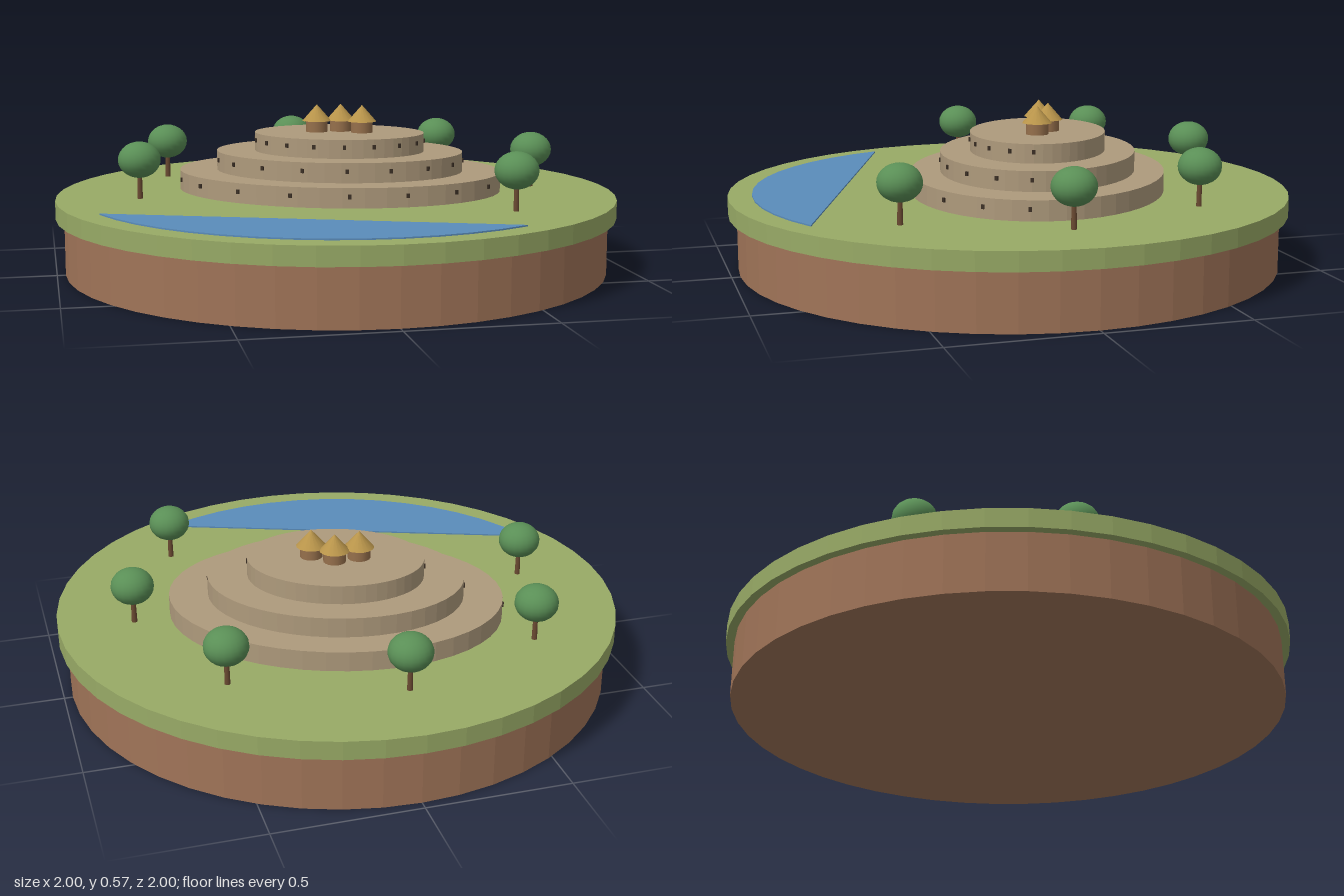
import * as THREE from 'three';

const mat = (name, color, flatShading = false) => {
  const m = new THREE.MeshStandardMaterial({ color, flatShading });
  m.name = name;
  return m;
};

export function createModel() {
  const soil = mat('soil', 0xa07458, true);
  const grass = mat('grass', 0x98aa66, true);
  const stone = mat('stone', 0xae9a7c, true);
  const water = mat('water', 0x5a8cba);
  const leaf = mat('leaf', 0x5a8f56);
  const bark = mat('bark', 0x6b4a32);
  const thatch = mat('thatch', 0xb8944a);
  const mudWall = mat('mudWall', 0x96704c);
  const opening = mat('opening', 0x3c3026);

  const model = new THREE.Group();
  model.name = 'hillVillage';
  const add = (parent, name, geometry, material, x = 0, y = 0, z = 0) => {
    const mesh = new THREE.Mesh(geometry, material);
    mesh.name = name;
    mesh.position.set(x, y, z);
    parent.add(mesh);
    return mesh;
  };

  // Round base with a wider layer of turf
  add(model, 'soilBase', new THREE.CylinderGeometry(0.97, 0.97, 0.2, 48), soil, 0, 0.1, 0);
  add(model, 'turf', new THREE.CylinderGeometry(1, 1, 0.065, 48), grass, 0, 0.2325, 0);

  // Lake: a circle segment cut off by a straight shore
  const shore = [];
  for (let i = 0; i <= 14; i++) {
    const a = THREE.MathUtils.lerp(2.795, 1.048, i / 14);
    shore.push(new THREE.Vector2(0.915 * Math.cos(a), 0.915 * Math.sin(a)));
  }
  const lake = new THREE.ExtrudeGeometry(new THREE.Shape(shore), { depth: 0.008, bevelEnabled: false });
  lake.rotateX(Math.PI / 2);
  add(model, 'lake', lake, water, 0, 0.27, 0);

  // Terraced oval hill, turned about 20 degrees, with openings along its front half
  const hill = new THREE.Group();
  hill.name = 'terracedHill';
  hill.position.set(0.032, 0, -0.1);
  hill.rotation.y = -0.35;
  model.add(hill);
  const openingGeo = new THREE.BoxGeometry(0.011, 0.015, 0.009);
  const tiers = [[0.59, 0.455, 0.265, 0.335], [0.452, 0.349, 0.335, 0.405], [0.311, 0.242, 0.405, 0.472]];
  tiers.forEach(([a, b, y0, y1], n) => {
    const tier = new THREE.CylinderGeometry(1, 1, y1 - y0, 48).scale(a, 1, b);
    add(hill, 'tier' + (n + 1), tier, stone, 0, (y0 + y1) / 2, 0);
    for (let i = 0; i < 10; i++) {
      const t = (i / 9) * Math.PI;
      const c = Math.cos(t), s = Math.sin(t);
      const slot = add(hill, 'opening', openingGeo, opening, a * c, y0 + 0.04, b * s);
      slot.rotation.y = Math.atan2(b * c, a * s);
    }
  });

  // Huts on the summit
  const wallGeo = new THREE.CylinderGeometry(0.04, 0.04, 0.042, 16);
  const roofGeo = new THREE.ConeGeometry(0.053, 0.06, 16);
  for (const [x, z] of [[-0.045, -0.13], [0.045, -0.135], [0.112, -0.073]]) {
    const hut = new THREE.Group();
    hut.name = 'hut';
    hut.position.set(x, 0.472, z);
    add(hut, 'hutWall', wallGeo, mudWall, 0, 0.021, 0);
    add(hut, 'hutRoof', roofGeo, thatch, 0, 0.07, 0);
    model.add(hut);
  }

  // Trees around the hill
  const trunkGeo = new THREE.CylinderGeometry(0.008, 0.01, 0.1, 8);
  const crownGeo = new THREE.SphereGeometry(0.075, 20, 14).scale(1, 0.85, 1);
  const spots = [[-0.705, 0], [-0.56, -0.505], [-0.038, -0.72], [0.517, -0.52], [0.734, 0.005], [0.511, 0.515]];
  for (const [x, z] of spots) {
    const tree = new THREE.Group();
    tree.name = 'tree';
    tree.position.set(x, 0.265, z);
    add(tree, 'trunk', trunkGeo, bark, 0, 0.05, 0);
    add(tree, 'crown', crownGeo, leaf, 0, 0.138, 0);
    model.add(tree);
  }

  return model;
}
